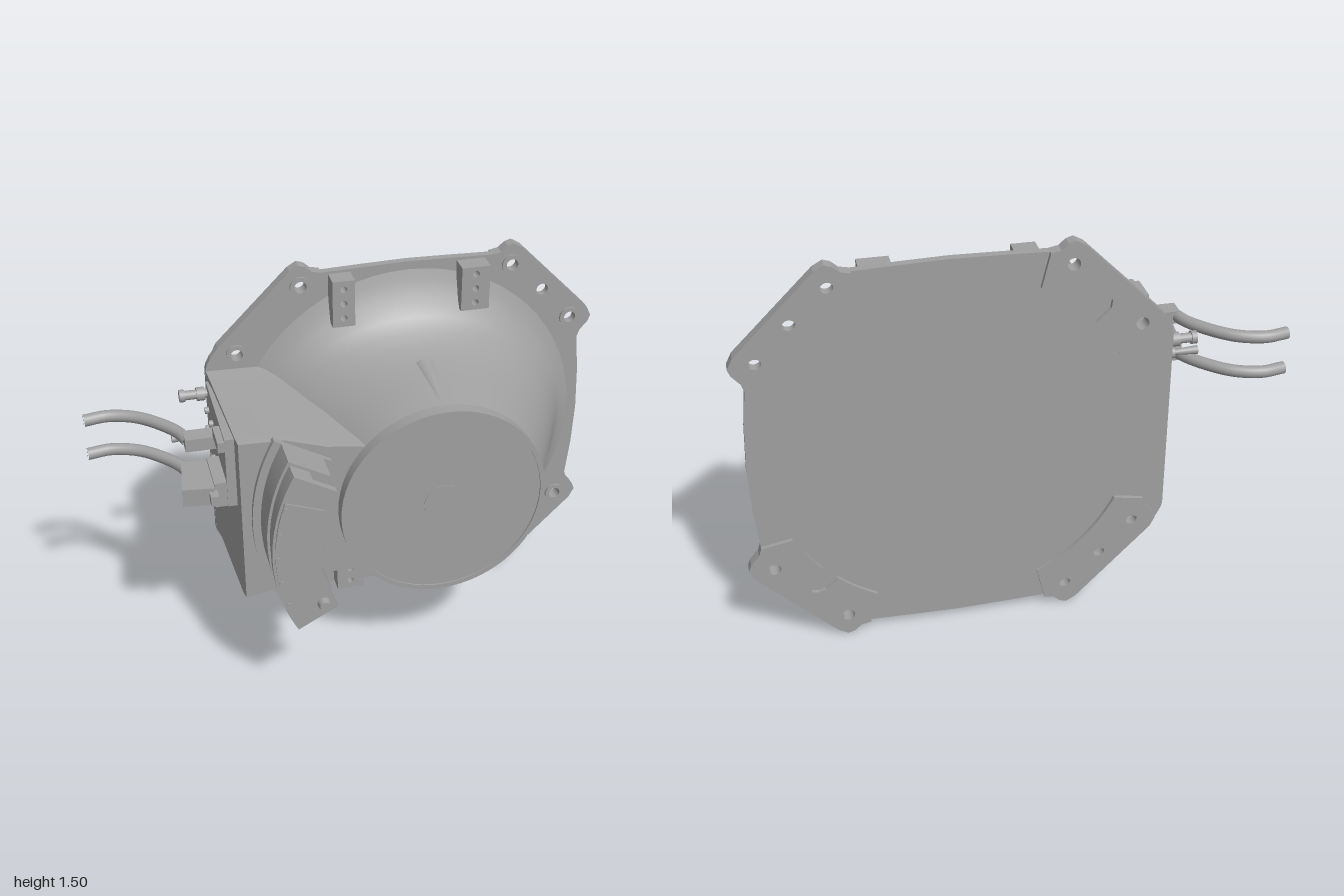
import * as THREE from 'three';
import { toCreasedNormals } from 'three/addons/utils/BufferGeometryUtils.js';

const CX = 0.25, CY = 0.75; // axis of the bell

export function createModel() {
  const model = new THREE.Group();
  model.name = 'bellHousing';
  const castMetal = new THREE.MeshStandardMaterial({ color: 0xa0a0a0 });
  castMetal.name = 'castMetal';

  const add = (name, geo, x = 0, y = 0, z = 0) => {
    const mesh = new THREE.Mesh(geo, castMetal);
    mesh.name = name;
    mesh.position.set(x, y, z);
    model.add(mesh);
    return mesh;
  };
  const box = (name, x0, x1, y0, y1, z0, z1) =>
    add(name, new THREE.BoxGeometry(x1 - x0, y1 - y0, z1 - z0), (x0 + x1) / 2, (y0 + y1) / 2, (z0 + z1) / 2);
  // Cylinder along x, or along z when alongZ is set
  const rod = (name, r0, r1, len, x, y, z, alongZ = false) => {
    const geo = new THREE.CylinderGeometry(r1, r0, len, 20);
    if (alongZ) geo.rotateX(Math.PI / 2); else geo.rotateZ(Math.PI / 2);
    return add(name, geo, x, y, z);
  };
  const shapeOf = pts => new THREE.Shape(pts.map(p => new THREE.Vector2(p[0], p[1])));
  const punch = (shape, x, y, r) => shape.holes.push(new THREE.Path().absarc(x, y, r, 0, Math.PI * 2, true));
  const slab = (name, shape, z0, z1, x = CX, y = CY) =>
    add(name, new THREE.ExtrudeGeometry(shape, { depth: z1 - z0, bevelEnabled: false, curveSegments: 24 }), x, y, z0);
  // Skin over counter-clockwise rings ordered from back to front, with end caps
  const loft = (name, rings, crease = 0.6) => {
    const n = rings[0].length, pos = rings.flat(2), idx = [];
    rings.forEach((ring, i) => {
      if (i === rings.length - 1) return;
      for (let j = 0; j < n; j++) {
        const k = (j + 1) % n, a = i * n + j, b = i * n + k, c = b + n, d = a + n;
        idx.push(a, b, c, a, c, d);
      }
    });
    const last = (rings.length - 1) * n, centre = pos.length / 3;
    for (const ring of [rings[0], rings[rings.length - 1]])
      for (let c = 0; c < 3; c++) pos.push(ring.reduce((s, p) => s + p[c], 0) / n);
    for (let j = 0; j < n; j++) {
      const k = (j + 1) % n;
      idx.push(centre, k, j, centre + 1, last + j, last + k);
    }
    const geo = new THREE.BufferGeometry();
    geo.setAttribute('position', new THREE.Float32BufferAttribute(pos, 3));
    geo.setIndex(idx);
    geo.computeVertexNormals();
    return add(name, toCreasedNormals(geo, crease));
  };

  // Eight-sided mounting flange with bolt holes
  const corner = [[0.33, 0.713], [0.365, 0.72], [0.39, 0.742], [0.415, 0.75], [0.45, 0.73],
    [0.73, 0.45], [0.75, 0.41], [0.74, 0.385], [0.71, 0.35], [0.7, 0.32]];
  const leftCorner = [...corner.slice(0, 6), [0.76, 0.41], [0.775, 0.38], [0.78, 0.36], [0.78, 0.33]];
  const mirror = (pts, sx, sy) => pts.map(p => [p[0] * sx, p[1] * sy]);
  const flange = shapeOf([
    ...mirror(corner, 1, 1).reverse(), [0.17, 0.718], [0, 0.722], [-0.17, 0.718],
    ...mirror(leftCorner, -1, 1),
    ...mirror(leftCorner, -1, -1).reverse(), [-0.17, -0.718], [0, -0.722], [0.17, -0.718],
    ...mirror(corner, 1, -1), [0.715, -0.17], [0.722, 0], [0.715, 0.17],
  ]);
  const quadrants = [[1, 1], [-1, 1], [-1, -1], [1, -1]];
  const boltHoles = (sx, sy) => {
    const holes = [[0.41 * sx, 0.665 * sy], [0.66 * sx, 0.415 * sy]];
    if (sx === sy) holes.push([0.54 * sx, 0.545 * sy]);
    return holes;
  };
  for (const [sx, sy] of quadrants) for (const [x, y] of boltHoles(sx, sy)) punch(flange, x, y, 0.023);
  slab('flange', flange, -0.395, -0.365);

  // Raised corner pads on the back and bolt seats on the front
  for (const [sx, sy] of quadrants) {
    const inner = [];
    for (let i = 0; i <= 12; i++) {
      const a = THREE.MathUtils.degToRad(27 + i * 3);
      inner.push([0.66 * Math.cos(a), 0.66 * Math.sin(a)]);
      if (i === 6 && sx !== sy) { // locating notch
        inner.pop();
        inner.push([0.495, 0.437], [0.545, 0.485], [0.55, 0.515], [0.535, 0.54], [0.51, 0.545], [0.485, 0.535], [0.437, 0.495]);
      }
    }
    const pad = shapeOf(mirror([...corner, ...inner], sx, sy));
    for (const [x, y] of boltHoles(sx, sy)) punch(pad, x, y, 0.023);
    slab('backPad', pad, -0.41, -0.395);
    for (const [x, y] of boltHoles(sx, sy).slice(0, 2)) {
      const seat = new THREE.Shape().absarc(x, y, 0.04, 0, Math.PI * 2);
      punch(seat, x, y, 0.023);
      slab('boltSeat', seat, -0.365, -0.357);
    }
  }

  // Flared bell: z, half width, half height
  const bellRings = [[-0.368, 0.69, 0.7], [-0.355, 0.655, 0.655], [-0.33, 0.63, 0.585], [-0.29, 0.605, 0.525],
    [-0.24, 0.58, 0.485], [-0.18, 0.55, 0.455], [-0.11, 0.515, 0.43], [0, 0.46, 0.412], [0.14, 0.388, 0.388]];
  loft('bell', bellRings.map(([z, rx, ry]) => Array.from({ length: 64 }, (_, j) => {
    const a = j / 64 * Math.PI * 2;
    return [CX + rx * Math.cos(a), CY + ry * Math.sin(a), z];
  })));

  // Round nose with a recessed face and central hub
  const nose = [[0.38, 0.135], [0.39, 0.14], [0.39, 0.19], [0.372, 0.19], [0.372, 0.184],
    [0.076, 0.184], [0.076, 0.187], [0, 0.187]].map(p => new THREE.Vector2(p[0], p[1]));
  const noseGeo = new THREE.LatheGeometry(nose, 64);
  noseGeo.rotateX(Math.PI / 2);
  add('nose', toCreasedNormals(noseGeo, 0.5), CX, CY);

  // Tapered ribs above and below the bell
  for (const s of [1, -1]) {
    const rib = rod('bellRib', 0.05, 0.012, 0.25, CX, CY + s * 0.385, 0.005, true);
    rib.rotation.x = s * 0.06;
  }

  // Drilled lugs on the flange
  for (const [x0, x1, y0, y1] of [[-0.055, 0.03, 1.27, 1.455], [0.44, 0.55, 1.28, 1.455],
    [-0.05, 0.06, 0.05, 0.24], [0.47, 0.55, 0.055, 0.24]]) {
    const lug = shapeOf([[x0, y0], [x1, y0], [x1, y1], [x0, y1]]);
    for (const t of [-0.058, 0, 0.058]) punch(lug, (x0 + x1) / 2, (y0 + y1) / 2 + t, 0.013);
    slab('lug', lug, -0.37, -0.29, 0, 0);
  }

  // Side housing blended into the bell
  const side = [[-0.5, 0.41], [-0.35, 0.435], [-0.2, 0.475], [0, 0.47], [0, 1.01], [-0.18, 1.035],
    [-0.33, 1.085], [-0.5, 1.09]];
  loft('sideHousing', [[-0.37, 0.03, 1.06], [-0.28, 0.02, 1.02], [0.1, 0, 1], [0.14, -0.005, 0.985]].map(
    ([z, out, tall]) => side.map(([x, y]) => [x < -0.4 ? x - out : x, CY + (y - CY) * tall, z])), 0.5);

  // Curved module on the housing front, with a slot on its inner side
  const sector = (name, r0, r1, deg, z0, z1) => {
    const a = THREE.MathUtils.degToRad(deg), shape = new THREE.Shape();
    shape.absarc(0, 0, r1, Math.PI - a, Math.PI + a, false);
    shape.absarc(0, 0, r0, Math.PI + a, Math.PI - a, true);
    return slab(name, shape, z0, z1);
  };
  sector('moduleFoot', 0.475, 0.71, 29, 0.13, 0.16);
  sector('moduleBase', 0.51, 0.68, 29, 0.16, 0.28);
  sector('moduleCore', 0.59, 0.67, 28, 0.28, 0.35);
  sector('moduleCover', 0.51, 0.68, 29, 0.35, 0.378);
  sector('moduleCoverPanel', 0.525, 0.67, 20, 0.378, 0.385);
  rod('moduleBolt', 0.026, 0.02, 0.04, -0.25, 0.525, 0.385, true);
  for (const deg of [-18, -9, 0, 9, 18]) {
    const a = THREE.MathUtils.degToRad(180 + deg);
    rod('coverScrew', 0.008, 0.008, 0.012, CX + 0.66 * Math.cos(a), CY + 0.66 * Math.sin(a), 0.384, true);
  }

  // Connection panel on the side wall
  box('connectionPanel', -0.535, -0.49, 0.8, 1.08, -0.34, 0.09);
  box('panelSocket', -0.56, -0.5, 1.03, 1.07, -0.03, 0.09);
  box('plugSocket', -0.58, -0.5, 0.8, 0.9, -0.1, 0.085);
  const plug = box('cablePlug', -0.685, -0.57, 0.82, 0.89, -0.1, 0.09);
  plug.rotation.y = -0.12;
  box('plugTab', -0.6, -0.57, 0.835, 0.875, 0.08, 0.13);
  box('upperPlug', -0.66, -0.5, 0.975, 1.025, -0.1, -0.03);
  for (const [y, z] of [[0.83, -0.3], [0.9, -0.3], [0.98, -0.3], [0.98, -0.2], [0.83, -0.2]])
    rod('panelScrew', 0.013, 0.013, 0.02, -0.54, y, z);

  // Pipe fittings
  rod('upperFitting', 0.018, 0.018, 0.14, -0.57, 1.04, -0.325);
  rod('upperFittingNut', 0.026, 0.026, 0.03, -0.56, 1.04, -0.325);
  rod('upperFittingTip', 0.024, 0.024, 0.02, -0.63, 1.04, -0.325);
  rod('lowerFitting', 0.022, 0.022, 0.1, -0.55, 0.925, -0.22);
  rod('lowerFittingTip', 0.01, 0.016, 0.1, -0.64, 0.925, -0.22);

  // Bent cables
  for (const y of [1.0, 0.855]) {
    const path = new THREE.CatmullRomCurve3([[-1, -0.3], [-0.91, -0.313], [-0.81, -0.28], [-0.72, -0.2], [-0.67, -0.13], [-0.645, -0.06]]
      .map(([x, z]) => new THREE.Vector3(x, y, z)));
    add('cable', new THREE.TubeGeometry(path, 32, 0.023, 16));
    const end = add('cableEnd', new THREE.CircleGeometry(0.023, 16), -1, y, -0.3);
    end.rotation.y = -Math.PI / 2;
  }
  return model;
}
